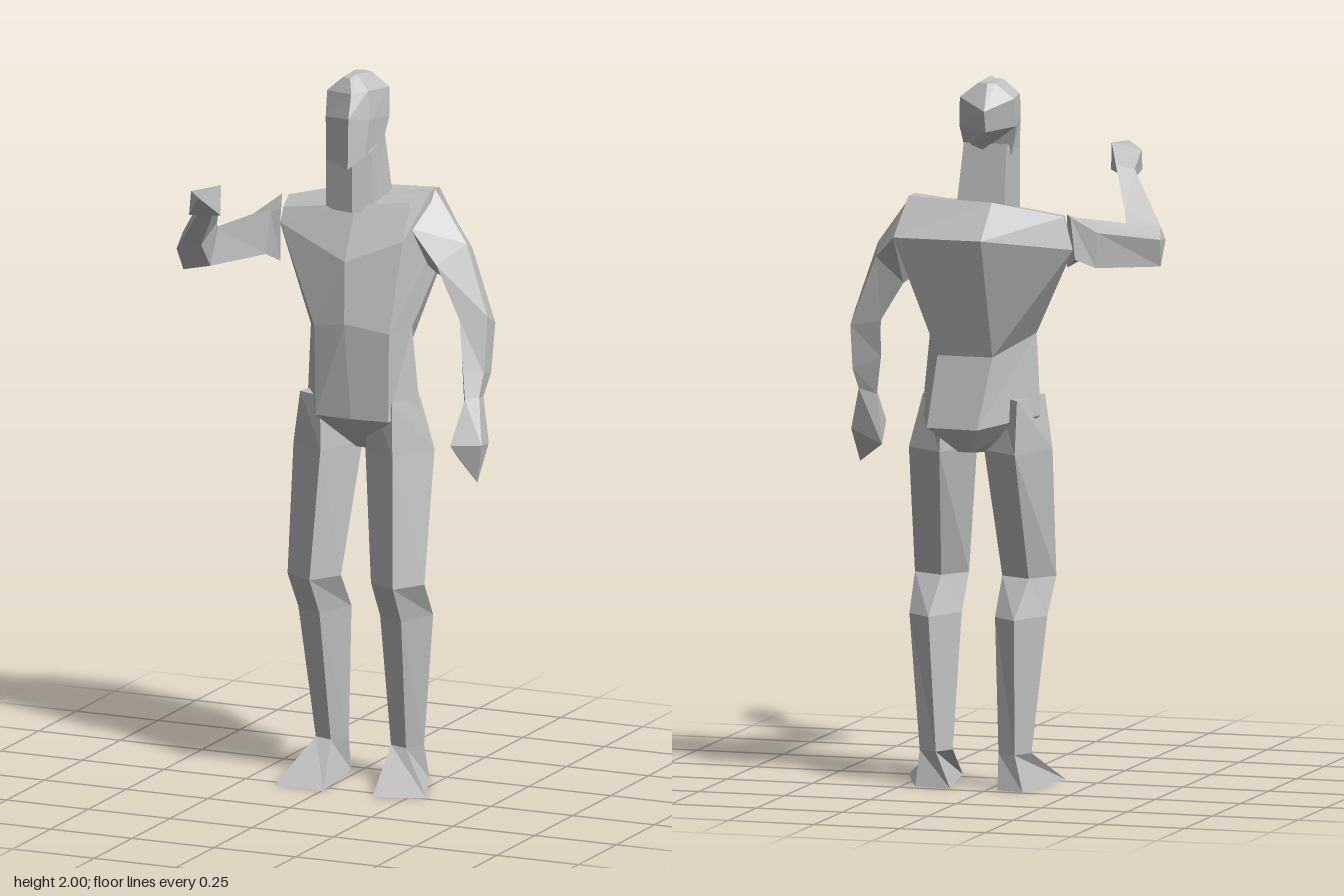
import * as THREE from 'three';

const skin = new THREE.MeshStandardMaterial({ color: 0xc0c0c0 });
skin.name = 'plain grey';
skin.flatShading = true;

// Skins a list of rings ([x, y, z] corners) with flat facets and closes both ends.
function loft(name, rings) {
  const tris = [];
  const n = rings[0].length;
  for (let r = 0; r < rings.length - 1; r++) {
    for (let i = 0; i < n; i++) {
      const j = (i + 1) % n;
      const a = rings[r][i], b = rings[r][j], c = rings[r + 1][j], d = rings[r + 1][i];
      tris.push([a, b, c], [a, c, d]);
    }
  }
  const cap = (ring, flip) => {
    const mid = [0, 1, 2].map(k => ring.reduce((s, p) => s + p[k], 0) / n);
    for (let i = 0; i < n; i++) {
      const a = ring[i], b = ring[(i + 1) % n];
      tris.push(flip ? [mid, b, a] : [mid, a, b]);
    }
  };
  cap(rings[0], true);
  cap(rings[rings.length - 1], false);

  // Signed volume tells whether the facets point outward
  const vec = p => new THREE.Vector3(...p);
  const volume = tris.reduce((s, [a, b, c]) => s + vec(a).dot(vec(b).cross(vec(c))), 0);
  if (volume < 0) tris.forEach(t => t.reverse());

  const geo = new THREE.BufferGeometry();
  geo.setAttribute('position', new THREE.Float32BufferAttribute(tris.flat(2), 3));
  geo.computeVertexNormals();
  const mesh = new THREE.Mesh(geo, skin);
  mesh.name = name;
  return mesh;
}

// Ring of n equal corners, used for pointed ends
const point = (p, n) => Array.from({ length: n }, () => p);

export function createModel() {
  const model = new THREE.Group();
  model.name = 'standingFigure';

  // Torso: front right, front middle, front left, left, back left, back right, right
  model.add(loft('torso', [
    [[.02, .945, -.15], [.045, .945, -.15], [.07, .945, -.15], [.08, .945, -.2],
      [.07, .95, -.26], [.03, .95, -.26], [.01, .945, -.2]],
    [[-.06, 1.05, -.05], [.05, 1.05, -.045], [.16, 1.05, -.055], [.205, 1.05, -.17],
      [.15, 1.02, -.3], [0, 1.02, -.31], [-.14, 1.05, -.17]],
    [[-.07, 1.3, -.065], [.03, 1.32, -.045], [.16, 1.3, -.06], [.18, 1.3, -.17],
      [.13, 1.22, -.265], [-.03, 1.22, -.265], [-.125, 1.28, -.16]],
    [[-.2, 1.57, -.12], [.02, 1.49, -.07], [.17, 1.55, -.13], [.2, 1.5, -.26],
      [.225, 1.56, -.37], [-.03, 1.56, -.37], [-.26, 1.53, -.25]],
    [[-.2, 1.61, -.14], [.02, 1.64, -.14], [.17, 1.65, -.18], [.2, 1.67, -.25],
      [.2, 1.67, -.31], [-.04, 1.66, -.3], [-.23, 1.62, -.24]],
  ]));

  // Neck
  model.add(loft('neck', [
    [[-.07, 1.62, -.14], [.02, 1.62, -.12], [.07, 1.62, -.16], [.07, 1.64, -.28], [-.07, 1.64, -.28]],
    [[-.07, 1.79, -.14], [.02, 1.78, -.12], [.06, 1.79, -.16], [.055, 1.82, -.26], [-.07, 1.82, -.26]],
  ]));

  // Head: face ridge, front left, back left, back, back right, front right
  model.add(loft('head', [
    [[.02, 1.75, -.09], [.05, 1.78, -.14], [.06, 1.79, -.23],
      [0, 1.8, -.26], [-.07, 1.78, -.22], [-.065, 1.76, -.13]],
    [[.015, 1.89, -.105], [.055, 1.88, -.16], [.065, 1.87, -.27],
      [-.03, 1.86, -.325], [-.095, 1.87, -.25], [-.075, 1.88, -.15]],
    [[.01, 1.955, -.135], [.045, 1.96, -.17], [.06, 1.95, -.28],
      [-.03, 1.92, -.34], [-.095, 1.95, -.27], [-.08, 1.95, -.17]],
    [[-.01, 1.99, -.17], [0, 2, -.19], [.01, 1.99, -.27],
      [-.02, 1.99, -.28], [-.04, 1.99, -.27], [-.035, 1.99, -.18]],
  ]));

  // Legs share one set of sections: front inner, front outer, back outer, back inner.
  // dx is the sideways step from the left leg to the right leg at that height.
  const legRings = [
    { y: 1.1, dx: -.22, at: [[.09, -.1], [.165, -.07], [.2, -.18], [.12, -.26]] },
    { y: .95, dx: -.22, at: [[.065, -.11], [.175, -.05], [.235, -.2], [.12, -.28]] },
    { y: .585, dx: -.255, at: [[.105, -.06], [.195, -.01], [.25, -.1], [.16, -.14]] },
    { y: .48, dx: -.25, at: [[.11, -.11], [.195, -.065], [.24, -.18], [.165, -.24]] },
    { y: .1, dx: -.23, at: [[.12, -.16], [.175, -.14], [.205, -.195], [.15, -.22]] },
  ];
  const soles = {
    left: [[.156, .041], [.3, -.005], [.21, -.22], [.105, -.23]],
    right: [[-.147, .035], [.004, .037], [-.03, -.22], [-.11, -.24]],
  };
  for (const side of ['left', 'right']) {
    const rings = legRings.map(({ y, dx, at }) =>
      at.map(([x, z]) => [x + (side === 'right' ? dx : 0), y, z]));
    model.add(loft(side + 'Leg', rings));
    model.add(loft(side + 'Foot', [rings[4], soles[side].map(([x, z]) => [x, 0, z])]));
  }

  // Left arm hanging down: outer, back, inner, front
  const leftWrist = [[.385, 1.12, -.17], [.375, 1.11, -.22], [.335, 1.09, -.18], [.36, 1.12, -.13]];
  model.add(loft('leftArm', [
    [[.2, 1.67, -.28], [.225, 1.56, -.37], [.175, 1.46, -.26], [.175, 1.58, -.17]],
    [[.305, 1.53, -.26], [.285, 1.5, -.34], [.225, 1.42, -.28], [.25, 1.48, -.18]],
    [[.38, 1.335, -.235], [.37, 1.3, -.31], [.295, 1.31, -.27], [.315, 1.33, -.19]],
    [[.385, 1.18, -.2], [.38, 1.17, -.26], [.31, 1.2, -.22], [.34, 1.2, -.16]],
    leftWrist,
  ]));
  model.add(loft('leftHand', [
    leftWrist,
    [[.425, 1, -.1], [.41, .99, -.18], [.33, .945, -.15], [.345, 1, -.065]],
    point([.405, .89, -.115], 4),
  ]));

  // Right arm raised forward: outer top, outer bottom, inner bottom, inner top
  const rightWrist = [[-.3, 1.7, .18], [-.295, 1.67, .2], [-.25, 1.68, .2], [-.25, 1.71, .165]];
  model.add(loft('rightArm', [
    [[-.25, 1.62, -.24], [-.26, 1.5, -.23], [-.2, 1.46, -.12], [-.2, 1.61, -.12]],
    [[-.31, 1.57, -.18], [-.3, 1.47, -.17], [-.235, 1.48, -.1], [-.225, 1.6, -.11]],
    [[-.43, 1.53, .01], [-.42, 1.45, .045], [-.335, 1.47, .05], [-.325, 1.57, .025]],
    [[-.415, 1.56, .06], [-.42, 1.52, .09], [-.34, 1.54, .1], [-.31, 1.6, .06]],
    rightWrist,
  ]));
  model.add(loft('rightHand', [
    rightWrist,
    [[-.29, 1.74, .275], [-.28, 1.68, .31], [-.2, 1.68, .275], [-.21, 1.76, .25]],
    point([-.22, 1.75, .375], 4),
  ]));

  return model;
}
